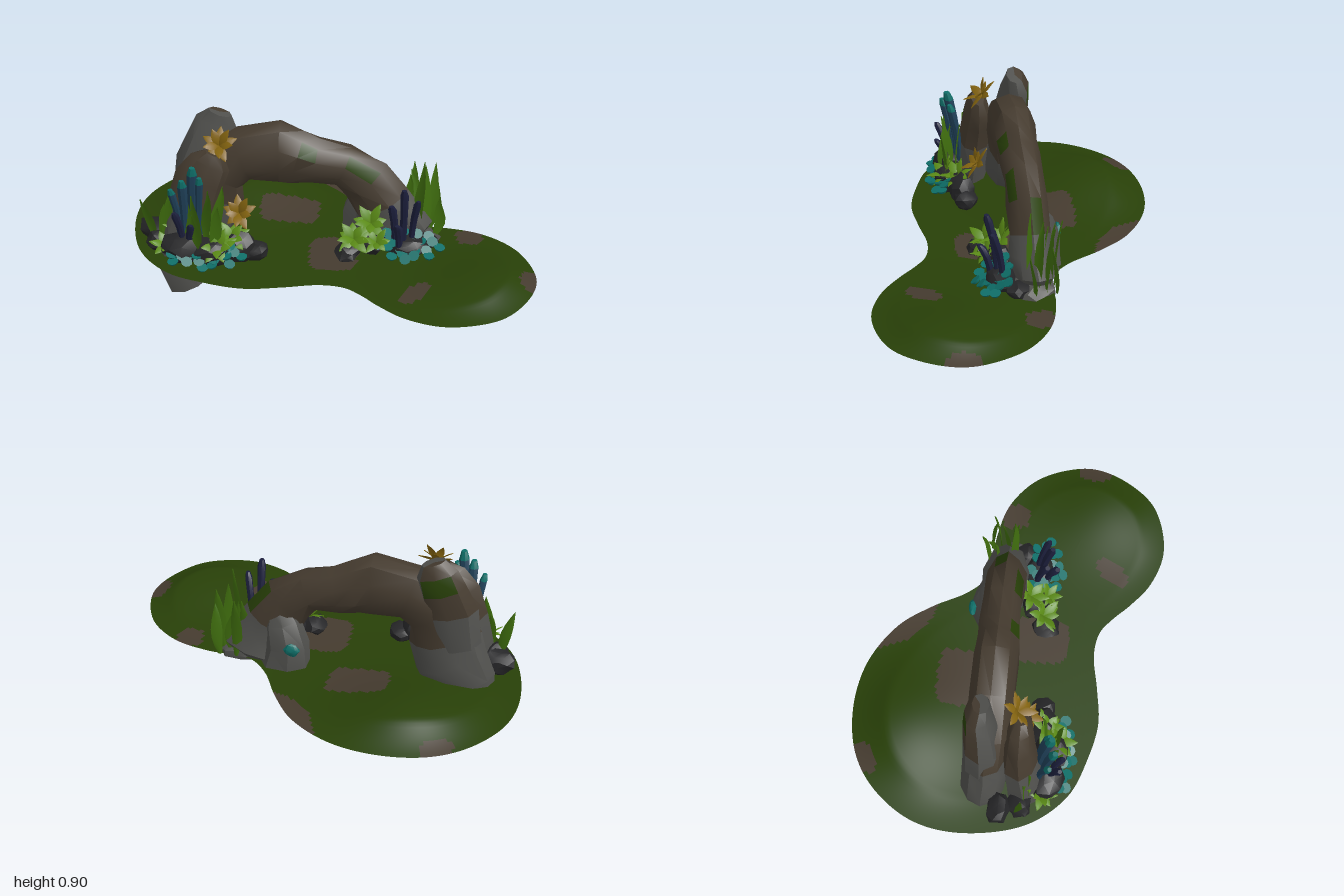
import * as THREE from 'three';
import { mergeGeometries, mergeVertices, toCreasedNormals } from 'three/addons/utils/BufferGeometryUtils.js';

const material = (name, color, side = THREE.FrontSide) => {
  const m = new THREE.MeshStandardMaterial({ color, side });
  m.name = name;
  return m;
};

export function createModel() {
  const model = new THREE.Group();
  model.name = 'rockArchIsland';
  const D = THREE.DoubleSide;
  const moss = material('moss green', 0x284008, D);
  const earth = material('earth brown', 0x453b2f, D);
  const stone = material('stone grey', 0x50504d);
  const dark = material('dark rock', 0x262628);
  const blade = material('blade green', 0x3f6d0e, D);
  const lime = material('lime leaf', 0x5a8a16, D);
  const gold = material('golden leaf', 0x846410, D);
  const teal = material('teal', 0x0f6f69);
  const navy = material('navy', 0x1c1f3c);
  const blue = material('steel blue', 0x1f4058);

  let seed = 7;
  const rand = () => (seed = (seed * 16807) % 2147483647) / 2147483647;
  const vary = (a) => (rand() - 0.5) * 2 * a;

  const add = (name, geo, mat) => {
    const mesh = new THREE.Mesh(geo, mat);
    mesh.name = name;
    model.add(mesh);
  };
  // Indexed geometry with one group per material in use
  const build = (verts, facesByMat) => {
    const g = new THREE.BufferGeometry();
    g.setAttribute('position', new THREE.Float32BufferAttribute(verts, 3));
    g.setIndex(facesByMat.flat());
    let start = 0;
    facesByMat.forEach((f, k) => {
      if (f.length) g.addGroup(start, f.length, k);
      start += f.length;
    });
    g.computeVertexNormals();
    return g;
  };

  // Ground: closed outline drawn in to a spine, with low mounds and bare patches
  const outline = new THREE.CatmullRomCurve3([
    [-1, -0.16], [-0.96, -0.4], [-0.82, -0.6], [-0.65, -0.71], [-0.42, -0.75], [-0.18, -0.71], [0.03, -0.58],
    [0.15, -0.42], [0.25, -0.24], [0.35, -0.15], [0.57, -0.13], [0.75, -0.08], [0.9, 0.04], [0.98, 0.2],
    [1, 0.35], [0.94, 0.52], [0.81, 0.67], [0.57, 0.735], [0.38, 0.68], [0.25, 0.58], [0.17, 0.5], [0.09, 0.44],
    [-0.03, 0.42], [-0.21, 0.45], [-0.39, 0.47], [-0.58, 0.43], [-0.77, 0.35], [-0.93, 0.16],
  ].map(([x, z]) => new THREE.Vector3(x, 0, z)), true).getSpacedPoints(220);
  const spine = new THREE.Line3(new THREE.Vector3(-0.42, 0, -0.15), new THREE.Vector3(0.57, 0, 0.3));
  const mound = (x, z, cx, cz, h, s) => h * Math.exp(-((x - cx) ** 2 + (z - cz) ** 2) / (s * s));
  // x, z, half width, half depth, turn, exponent (2 = ellipse, higher = boxier)
  const patches = [
    [-0.67, -0.66, 0.085, 0.05, -0.5, 2], [0.04, -0.54, 0.18, 0.07, 0.85, 2], [-0.22, -0.24, 0.15, 0.11, 0, 5],
    [0.02, 0.14, 0.12, 0.15, 0, 4], [0.69, -0.04, 0.065, 0.07, 0, 3], [0.42, 0.48, 0.045, 0.095, 0.6, 2.5],
    [0.97, 0.35, 0.05, 0.08, 0, 2],
  ];
  const isBare = (x, z) => patches.some(([cx, cz, a, b, r, e]) => {
    const dx = x - cx, dz = z - cz, c = Math.cos(r), s = Math.sin(r);
    return Math.abs((dx * c + dz * s) / a) ** e + Math.abs((dz * c - dx * s) / b) ** e < 1;
  });
  const RINGS = 30, N = 220, gv = [], gf = [[], []];
  for (let i = 0; i <= RINGS; i++) {
    for (let j = 0; j < N; j++) {
      const t = i / RINGS, o = outline[j];
      const p = spine.closestPointToPoint(o, true, new THREE.Vector3()).lerp(o, t);
      const fade = Math.min(1, (1 - t) * 3.5);
      const h = mound(p.x, p.z, -0.5, -0.5, 0.085, 0.33) + mound(p.x, p.z, 0.78, 0.42, 0.055, 0.28);
      gv.push(p.x, 0.216 + fade * h, p.z);
    }
  }
  for (let i = 0; i < RINGS; i++) {
    for (let j = 0; j < N; j++) {
      const a = i * N + j, b = i * N + (j + 1) % N, c = b + N, d = a + N;
      const bare = isBare((gv[a * 3] + gv[c * 3]) / 2, (gv[a * 3 + 2] + gv[c * 3 + 2]) / 2);
      gf[bare ? 1 : 0].push(a, b, c, a, c, d);
    }
  }
  add('ground', build(gv, gf), [moss, earth]);

  // Loft through sections [x, y, z, radius in plane, radius in z]
  const loft = (sections, sides, rough, pick, mats) => {
    const v = [], f = mats.map(() => []), n = sections.length;
    sections.forEach(([x, y, z, r, rz], i) => {
      const p = sections[Math.max(0, i - 1)], q = sections[Math.min(n - 1, i + 1)];
      const len = Math.hypot(q[0] - p[0], q[1] - p[1]);
      const nx = (q[1] - p[1]) / len, ny = -(q[0] - p[0]) / len;
      for (let j = 0; j < sides; j++) {
        const a = j / sides * Math.PI * 2, k = 1 + vary(rough);
        v.push(x + nx * Math.cos(a) * r * k, y + ny * Math.cos(a) * r * k, z + Math.sin(a) * rz * k);
      }
    });
    v.push(...sections[0].slice(0, 3), ...sections[n - 1].slice(0, 3));
    for (let j = 0; j < sides; j++) {
      const j2 = (j + 1) % sides, e = (n - 1) * sides;
      for (let i = 0; i < n - 1; i++) {
        const a = i * sides + j, b = i * sides + j2, c = b + sides, d = a + sides;
        f[pick(i, j)].push(a, d, c, a, c, b);
      }
      f[pick(0, j)].push(j, j2, n * sides);
      f[pick(n - 2, j)].push(e + j2, e + j, n * sides + 1);
    }
    return toCreasedNormals(build(v, f), 0.7);
  };
  const rockMats = [stone, earth, moss];

  // Arch from the left root over to the right foot
  const mossy = new Set(['8,3', '10,3', '11,5']);
  add('arch', loft([
    [-0.75, 0, -0.09, 0.11, 0.065], [-0.74, 0.1, -0.07, 0.12, 0.09], [-0.73, 0.21, -0.07, 0.14, 0.11],
    [-0.64, 0.32, -0.06, 0.19, 0.12], [-0.61, 0.44, -0.06, 0.18, 0.11], [-0.56, 0.58, -0.05, 0.16, 0.11],
    [-0.43, 0.66, -0.05, 0.14, 0.11], [-0.25, 0.68, -0.05, 0.165, 0.11], [-0.17, 0.655, -0.05, 0.145, 0.105],
    [-0.08, 0.63, -0.05, 0.12, 0.1], [0.06, 0.61, -0.05, 0.11, 0.1], [0.17, 0.53, -0.05, 0.13, 0.1],
    [0.25, 0.41, -0.05, 0.14, 0.1], [0.28, 0.33, -0.05, 0.17, 0.11], [0.3, 0.25, -0.06, 0.2, 0.12],
    [0.31, 0.2, -0.05, 0.16, 0.09],
  ], 10, 0.06, (i, j) => mossy.has(i + ',' + j) ? 2 : (i < 4 || i > 11 ? 0 : 1), rockMats), rockMats);
  add('footButtress', loft([
    [0.17, 0.2, -0.13, 0.13, 0.095], [0.16, 0.32, -0.13, 0.11, 0.09], [0.19, 0.44, -0.11, 0.09, 0.07],
    [0.21, 0.51, -0.09, 0.05, 0.04],
  ], 7, 0.05, () => 0, rockMats), rockMats);

  // Front pillar and tall spur leaning on the left leg
  add('frontPillar', loft([
    [-0.71, 0.02, 0.14, 0.1, 0.085], [-0.74, 0.13, 0.14, 0.11, 0.095], [-0.69, 0.3, 0.13, 0.13, 0.1],
    [-0.66, 0.46, 0.11, 0.13, 0.09], [-0.62, 0.6, 0.1, 0.12, 0.075], [-0.57, 0.69, 0.1, 0.1, 0.06],
    [-0.55, 0.74, 0.1, 0.05, 0.035],
  ], 8, 0.08, (i) => i < 3 ? 0 : 1, rockMats), rockMats);
  add('spur', loft([
    [-0.66, 0.42, -0.08, 0.13, 0.1], [-0.63, 0.6, -0.08, 0.13, 0.09], [-0.59, 0.72, -0.09, 0.12, 0.08],
    [-0.56, 0.81, -0.1, 0.1, 0.06], [-0.54, 0.865, -0.09, 0.06, 0.04],
  ], 8, 0.08, (i, j) => (j < 4 || i < 1 || j === 7 ? 0 : i === 2 && j > 4 ? 2 : 1), rockMats), rockMats);

  // Loose rocks
  const ball = new THREE.IcosahedronGeometry(1, 1);
  ball.deleteAttribute('normal');
  ball.deleteAttribute('uv');
  const rockBase = mergeVertices(ball);
  const rock = (name, mat, x, y, z, sx, sy, sz) => {
    const g = rockBase.clone(), p = g.attributes.position;
    for (let i = 0; i < p.count; i++) {
      const k = 1 + vary(0.16);
      p.setXYZ(i, x + p.getX(i) * sx * k, y + p.getY(i) * sy * k, z + p.getZ(i) * sz * k);
    }
    add(name, toCreasedNormals(g, 0.5), mat);
  };
  rock('footSlab', stone, 0.4, 0.22, -0.04, 0.14, 0.045, 0.11);
  rock('footTealPatch', teal, 0.12, 0.34, -0.205, 0.04, 0.035, 0.02);
  [
    [-0.87, 0.27, 0.02, 0.08, 0.06, 0.06], [-0.84, 0.26, 0.12, 0.07, 0.05, 0.06], [-0.7, 0.29, 0.23, 0.11, 0.08, 0.09],
    [-0.57, 0.28, 0.25, 0.1, 0.08, 0.09], [-0.44, 0.28, 0.2, 0.09, 0.08, 0.07], [-0.36, 0.26, 0.19, 0.07, 0.045, 0.065],
    [0.09, 0.25, 0.17, 0.06, 0.045, 0.07], [0.2, 0.27, 0.1, 0.08, 0.06, 0.07], [0.38, 0.26, 0.11, 0.1, 0.05, 0.07],
    [0.47, 0.24, 0.04, 0.06, 0.035, 0.06],
  ].forEach((r) => rock('darkRock', dark, ...r));

  // Leaf: a creased plane, tapered and bent
  const leaf = (len, w, bend, sway) => {
    const g = new THREE.PlaneGeometry(w, len, 2, 6).translate(0, len / 2, 0), p = g.attributes.position;
    for (let i = 0; i < p.count; i++) {
      const t = THREE.MathUtils.clamp(p.getY(i) / len, 0, 1), x = p.getX(i);
      p.setXYZ(i, x * Math.sin(Math.PI * (0.1 + 0.89 * t)) + sway * Math.sin(t * 5),
        p.getY(i), bend * t * t + Math.abs(x) * 0.2);
    }
    g.computeVertexNormals();
    return g;
  };
  const bladeClump = (name, list) => add(name, mergeGeometries(list.map(([x, z, y, top, lean]) =>
    leaf(top - y, 0.058, vary(0.05), vary(0.018)).rotateY(vary(0.7)).rotateZ(-lean).translate(x, y, z))), blade);
  bladeClump('leftBlades', [
    [-0.86, 0.1, 0.25, 0.5, -0.15], [-0.82, 0.14, 0.25, 0.47, 0.1], [-0.79, 0.16, 0.28, 0.55, 0.05],
    [-0.66, 0.25, 0.3, 0.54, -0.15], [-0.62, 0.26, 0.3, 0.6, -0.05], [-0.58, 0.24, 0.3, 0.64, 0.08],
    [-0.56, 0.27, 0.3, 0.56, 0.15], [-0.64, 0.28, 0.3, 0.5, 0.05], [-0.54, 0.22, 0.3, 0.62, 0.06],
  ]);
  bladeClump('rightBlades', [
    [0.44, -0.02, 0.22, 0.65, 0], [0.47, -0.06, 0.22, 0.6, 0.03], [0.49, -0.1, 0.22, 0.59, 0.08],
    [0.45, -0.12, 0.22, 0.55, -0.1], [0.51, -0.04, 0.22, 0.46, 0.15], [0.42, -0.15, 0.22, 0.57, -0.05],
    [0.39, -0.1, 0.25, 0.53, -0.05], [0.5, -0.15, 0.22, 0.5, 0.08],
  ]);

  // Leafy rosettes, tipped toward the front
  const rosette = (name, mat, x, y, z, size, tip) => {
    const leaves = [];
    for (let k = 0; k < 10; k++) {
      leaves.push(leaf(size * (0.8 + 0.4 * rand()), size * 0.5, size * 0.25, 0)
        .rotateX(k % 2 ? 1.25 : 0.7).rotateY(k * Math.PI / 5 + vary(0.2)).rotateX(tip).translate(x, y, z));
    }
    add(name, mergeGeometries(leaves), mat);
  };
  [[-0.53, 0.77, 0.08, 0.085, 0.8], [-0.44, 0.42, 0.12, 0.085, 0.9]].forEach((r) => rosette('goldenRosette', gold, ...r));
  [[-0.53, 0.32, 0.28, 0.09, 0.6], [-0.47, 0.34, 0.22, 0.09, 0.5], [-0.73, 0.33, 0.13, 0.09, 0.4],
    [-0.79, 0.29, 0.22, 0.08, 0.4], [0.12, 0.31, 0.15, 0.09, 0.6], [0.2, 0.36, 0.08, 0.09, 0.6], [0.23, 0.3, 0.16, 0.07, 0.5],
  ].forEach((r) => rosette('limeRosette', lime, ...r));

  // Tube sponges: x, z, base, top, lean, radius, colour (0 navy, 1 blue with a teal tip)
  const tubeMats = [navy, blue, teal];
  [[-0.72, 0.2, 0.32, 0.62, -0.03, 0.018, 1], [-0.69, 0.22, 0.32, 0.68, 0, 0.022, 1], [-0.66, 0.2, 0.33, 0.74, 0.02, 0.024, 1],
    [-0.63, 0.19, 0.33, 0.68, 0.02, 0.02, 1], [-0.7, 0.25, 0.3, 0.52, -0.03, 0.018, 0], [-0.67, 0.26, 0.3, 0.46, 0.02, 0.018, 0],
    [0.32, 0.1, 0.25, 0.5, -0.02, 0.02, 0], [0.36, 0.12, 0.25, 0.6, 0, 0.02, 0], [0.4, 0.1, 0.25, 0.53, 0.03, 0.018, 0],
    [0.34, 0.15, 0.25, 0.42, -0.01, 0.02, 0],
  ].forEach(([x, z, y, top, lean, r, tint]) => {
    const s = [0, 0.3, 0.6, 0.9, 1].map((t) => [x + lean * t * t, y + (top - y) * t, z + 0.05 * t * t,
      r * (t === 1 ? 0.6 : 0.75 + 0.35 * t), r * (t === 1 ? 0.6 : 0.75 + 0.35 * t)]);
    add('tubeSponge', loft(s, 7, 0.05, (i) => (tint && i > 2 ? 2 : tint), tubeMats), tubeMats);
  });

  // Small teal caps scattered over the rocks
  const caps = (name, n, cx, cy, cz, rx, rz) => {
    const list = [];
    for (let k = 0; k < n; k++) {
      const a = k * 2.4, r = Math.sqrt((k + 0.5) / n);
      list.push(new THREE.CylinderGeometry(0.028, 0.02, 0.014, 9).rotateX(0.4 + vary(0.3)).rotateZ(vary(0.3))
        .translate(cx + Math.cos(a) * r * rx, cy - Math.sin(a) * r * 0.04 + vary(0.01), cz + Math.sin(a) * r * rz));
    }
    add(name, mergeGeometries(list), teal);
  };
  caps('leftCaps', 24, -0.59, 0.29, 0.3, 0.19, 0.06);
  caps('rightCaps', 22, 0.38, 0.275, 0.14, 0.16, 0.09);

  return model;
}
